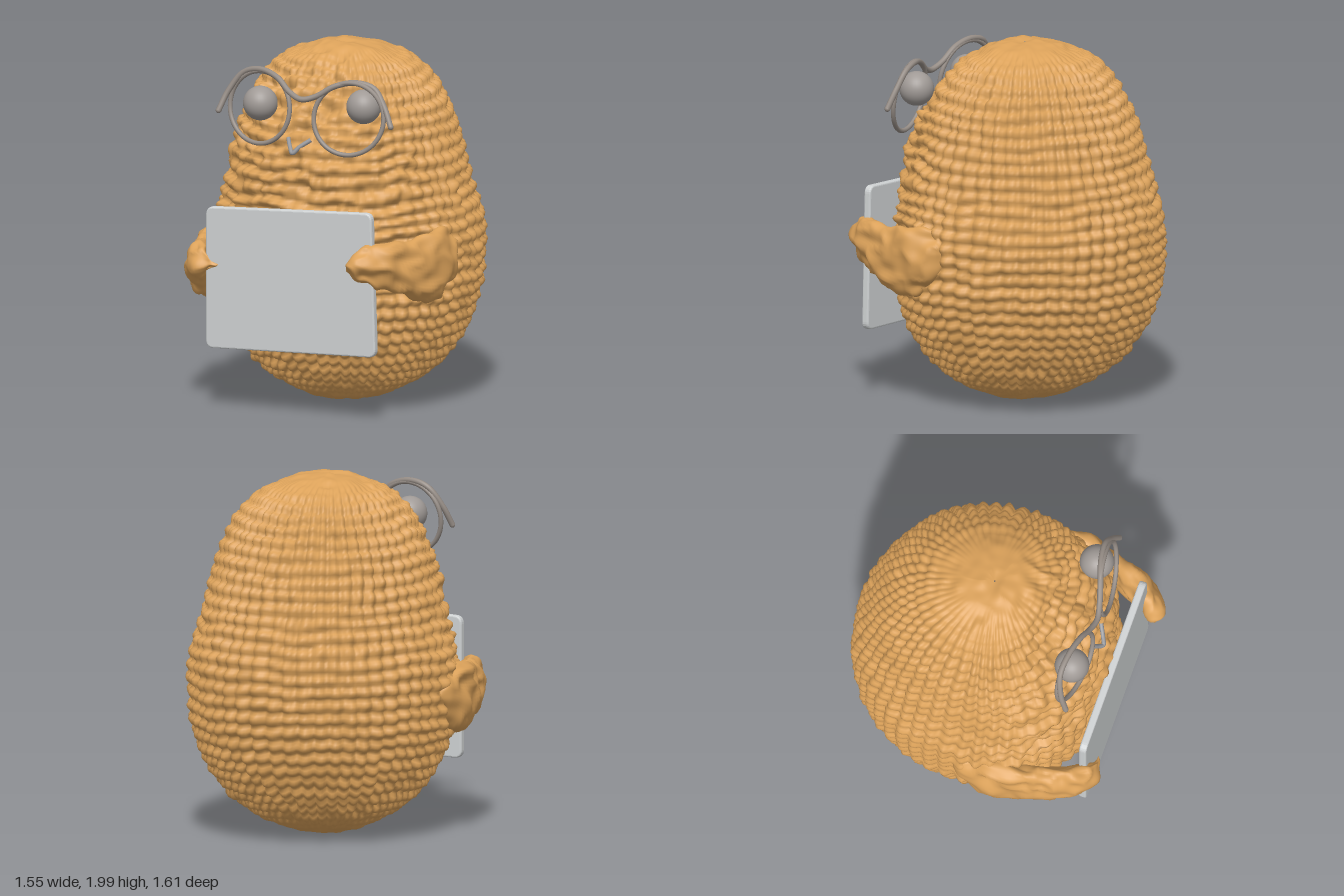
import * as THREE from 'three';

const mat = (name, color) => {
  const m = new THREE.MeshStandardMaterial({ color });
  m.name = name;
  return m;
};

// seeded smooth value noise in -1..1
const hash = (x, y, z) => {
  const s = Math.sin(x * 127.1 + y * 311.7 + z * 74.7) * 43758.5453;
  return s - Math.floor(s);
};
function noise(x, y, z) {
  const X = Math.floor(x), Y = Math.floor(y), Z = Math.floor(z);
  const f = (t) => t * t * (3 - 2 * t), L = THREE.MathUtils.lerp;
  const u = f(x - X), v = f(y - Y), w = f(z - Z);
  const row = (b, c) => L(hash(X, Y + b, Z + c), hash(X + 1, Y + b, Z + c), u);
  return 2 * L(L(row(0, 0), row(1, 0), v), L(row(0, 1), row(1, 1), v), w) - 1;
}

// closed skin over rings of points, then pushed along its normals by bump(p, u, v)
function skin(rows, cols, point, bump) {
  const pos = [], index = [];
  for (let i = 0; i <= rows; i++)
    for (let j = 0; j < cols; j++) pos.push(...point(i / rows, (j / cols) * Math.PI * 2).toArray());
  for (let i = 0; i < rows; i++)
    for (let j = 0; j < cols; j++) {
      const k = (j + 1) % cols, a = i * cols + j, b = i * cols + k;
      index.push(a, b, b + cols, a, b + cols, a + cols);
    }
  const g = new THREE.BufferGeometry();
  g.setAttribute('position', new THREE.Float32BufferAttribute(pos, 3));
  g.setIndex(index);
  g.computeVertexNormals();
  const p = new THREE.Vector3(), n = new THREE.Vector3(), P = g.attributes.position;
  for (let i = 0; i < P.count; i++) {
    p.fromBufferAttribute(P, i);
    n.fromBufferAttribute(g.attributes.normal, i);
    p.addScaledVector(n, bump(p, Math.floor(i / cols) / rows, ((i % cols) / cols) * Math.PI * 2));
    P.setXYZ(i, p.x, p.y, p.z);
  }
  g.computeVertexNormals();
  return g;
}

// smooth curve through rows of four numbers, read at t
const V = (a) => new THREE.Vector3(...a);
const curve = (pts) => new THREE.CatmullRomCurve3(pts.map(V), false, 'centripetal');

// egg profile: height, half width, front depth, back depth
const EGG = [
  [0.015, 0.004, 0.004, 0.004], [0.02, 0.13, 0.13, 0.13], [0.06, 0.26, 0.25, 0.27], [0.2, 0.47, 0.44, 0.49],
  [0.4, 0.62, 0.58, 0.66], [0.6, 0.695, 0.635, 0.74], [0.8, 0.715, 0.64, 0.77], [1.0, 0.705, 0.64, 0.765],
  [1.2, 0.65, 0.63, 0.72], [1.4, 0.605, 0.61, 0.66], [1.6, 0.55, 0.52, 0.59], [1.8, 0.44, 0.37, 0.48],
  [1.9, 0.34, 0.28, 0.37], [1.965, 0.19, 0.16, 0.2], [1.985, 0.09, 0.08, 0.1], [1.985, 0.004, 0.004, 0.004],
];

function bodyGeometry() {
  const side = curve(EGG.map(([y, w]) => [w, y, 0]));
  const depth = curve(EGG.map(([y, , f, b]) => [f, y, b]));
  const soft = (c) => Math.sign(c) * Math.abs(c) ** 0.94;
  // even spacing along the side profile; depths are looked up by the same curve parameter
  const point = (u, a) => {
    const t = side.getUtoTmapping(u), s = side.getPoint(t), d = depth.getPoint(t);
    const c = Math.cos(a);
    return new THREE.Vector3(s.x * soft(Math.sin(a)) - 0.015 * s.y * (1 - s.x), s.y, soft(c) * (c > 0 ? d.x : d.z));
  };
  // knitted rows and ribs, rougher on the face side
  const bump = (p, u, a) => {
    const w = noise(p.x * 6, p.y * 6, p.z * 6);
    const rough = THREE.MathUtils.smoothstep(p.z, 0, 0.45) * THREE.MathUtils.smoothstep(p.y, 0.4, 1.1);
    const fade = THREE.MathUtils.smoothstep(Math.min(u, 1 - u), 0.06, 0.22);
    const row = Math.abs(Math.sin(u * Math.PI * 36 + w * 0.7 + rough * w)) - 0.6;
    const rib = Math.abs(Math.sin(a * 26 + w * 0.6)) - 0.6;
    const fine = noise(p.x * 17, p.y * 17, p.z * 17);
    const crease = 0.5 - Math.abs(noise(p.x * 13 + 9, p.y * 13, p.z * 13)) * 2;
    return fade * (row * (0.024 + rough * 0.016) + rib * 0.03 * (1 - rough * 0.6))
      + fine * (0.009 + rough * 0.012) + crease * (0.004 + rough * 0.012);
  };
  return skin(170, 300, point, bump);
}

// arm from stations: x, y, z, half thickness, half height
function armGeometry(st) {
  const path = curve(st.map((s) => s.slice(0, 3)));
  const size = curve(st.map((s, i) => [s[3], s[4], i * 0.08]));
  const up = new THREE.Vector3(0, 1, 0);
  const point = (u, a) => {
    const s = size.getPoint(u), T = path.getTangent(u);
    T.y = 0;
    const S = up.clone().cross(T.normalize());
    return path.getPoint(u).addScaledVector(S, Math.cos(a) * s.x).addScaledVector(up, Math.sin(a) * s.y);
  };
  return skin(60, 56, point, (p) =>
    0.025 * noise(p.x * 11, p.y * 11, p.z * 9) + 0.016 * (0.5 - 2 * Math.abs(noise(p.x * 14 + 5, p.y * 14, p.z * 10))));
}

// board with rounded, slightly skewed corners
function boardGeometry() {
  const c = [[-0.5, 0.36], [0.53, 0.4], [0.505, 1.18], [-0.5, 1.125]].map(([x, y]) => new THREE.Vector2(x, y));
  const shape = new THREE.Shape();
  c.forEach((p, i) => {
    const toward = (q) => p.clone().add(q.clone().sub(p).setLength(0.035));
    const a = toward(c[(i + 3) % 4]), b = toward(c[(i + 1) % 4]);
    if (i) shape.lineTo(a.x, a.y); else shape.moveTo(a.x, a.y);
    shape.quadraticCurveTo(p.x, p.y, b.x, b.y);
  });
  shape.closePath();
  return new THREE.ExtrudeGeometry(shape, {
    depth: 0.022, bevelEnabled: true, bevelSize: 0.01, bevelThickness: 0.01, bevelSegments: 3, curveSegments: 6,
  }).translate(0, 0, 0.66);
}

export function createModel() {
  const model = new THREE.Group();
  const wool = mat('orange wool', 0xdca25a);
  const white = mat('board grey', 0xcfd2d3);
  const grey = mat('eye grey', 0xa09a96);
  const metal = mat('frame grey', 0x968d86);
  const beakGrey = mat('beak grey', 0x9a9b9f);
  const add = (name, geo, m, parent = model) => {
    const mesh = new THREE.Mesh(geo, m);
    mesh.name = name;
    parent.add(mesh);
    return mesh;
  };

  add('body', bodyGeometry(), wool);

  // arms gripping the board
  add('leftArm', armGeometry([
    [0.69, 0.9, 0.05, 0.003, 0.003], [0.69, 0.91, 0.09, 0.04, 0.11], [0.685, 0.87, 0.18, 0.06, 0.17],
    [0.675, 0.84, 0.31, 0.075, 0.18], [0.64, 0.85, 0.45, 0.075, 0.16], [0.57, 0.9, 0.61, 0.075, 0.13],
    [0.5, 0.91, 0.71, 0.06, 0.11], [0.44, 0.89, 0.75, 0.04, 0.06], [0.41, 0.88, 0.76, 0.003, 0.003]]), wool);
  add('rightArm', armGeometry([
    [-0.7, 0.8, 0, 0.003, 0.003], [-0.705, 0.8, 0.05, 0.04, 0.1], [-0.7, 0.77, 0.16, 0.06, 0.17],
    [-0.68, 0.74, 0.31, 0.075, 0.19], [-0.64, 0.76, 0.46, 0.075, 0.17], [-0.59, 0.8, 0.61, 0.07, 0.13],
    [-0.54, 0.82, 0.7, 0.055, 0.1], [-0.46, 0.83, 0.74, 0.03, 0.05], [-0.41, 0.83, 0.73, 0.003, 0.003]]), wool);

  add('board', boardGeometry(), white);

  // eyes
  const ball = new THREE.SphereGeometry(0.095, 32, 20);
  add('rightEye', ball, grey).position.set(-0.26, 1.705, 0.525);
  add('leftEye', ball, grey).position.set(0.345, 1.73, 0.46);

  // glasses: two tilted rims and a wavy brow bar that ends in short temples
  const glasses = new THREE.Group();
  glasses.name = 'glasses';
  model.add(glasses);
  const tube = (name, path, r, closed = false) => add(name, new THREE.TubeGeometry(path, 80, r, 10, closed), metal, glasses);
  for (const [name, cx, cy, dir] of [['rightRim', -0.255, 1.685, 1], ['leftRim', 0.295, 1.67, -1]]) {
    const pts = [];
    for (let i = 0; i < 24; i++) {
      const a = (i / 24) * Math.PI * 2, c = Math.cos(a), s = Math.sin(a);
      pts.push(new THREE.Vector3(cx + 0.2 * c, cy + 0.195 * s, 0.54 + 0.03 * c * dir - 0.03 * s));
    }
    tube(name, new THREE.CatmullRomCurve3(pts, true), 0.013, true);
  }
  const brow = [
    [-0.495, 1.65, 0.57], [-0.46, 1.75, 0.53], [-0.38, 1.86, 0.5], [-0.27, 1.89, 0.51], [-0.15, 1.86, 0.535],
    [-0.06, 1.79, 0.56], [0.02, 1.76, 0.575], [0.1, 1.78, 0.56], [0.2, 1.84, 0.53], [0.31, 1.865, 0.495],
    [0.42, 1.84, 0.48], [0.49, 1.75, 0.495], [0.545, 1.645, 0.52]];
  tube('browBar', curve(brow), 0.016);
  for (const p of [brow[0], brow[12]])
    add('templeTip', new THREE.SphereGeometry(0.016, 10, 8), metal, glasses).position.set(...p);

  // small V shaped beak
  const beak = curve([[-0.06, 1.54, 0.575], [-0.035, 1.49, 0.6], [-0.01, 1.465, 0.62], [0.025, 1.5, 0.605], [0.08, 1.54, 0.575]]);
  add('beak', new THREE.TubeGeometry(beak, 30, 0.012, 8), beakGrey);

  return model;
}
